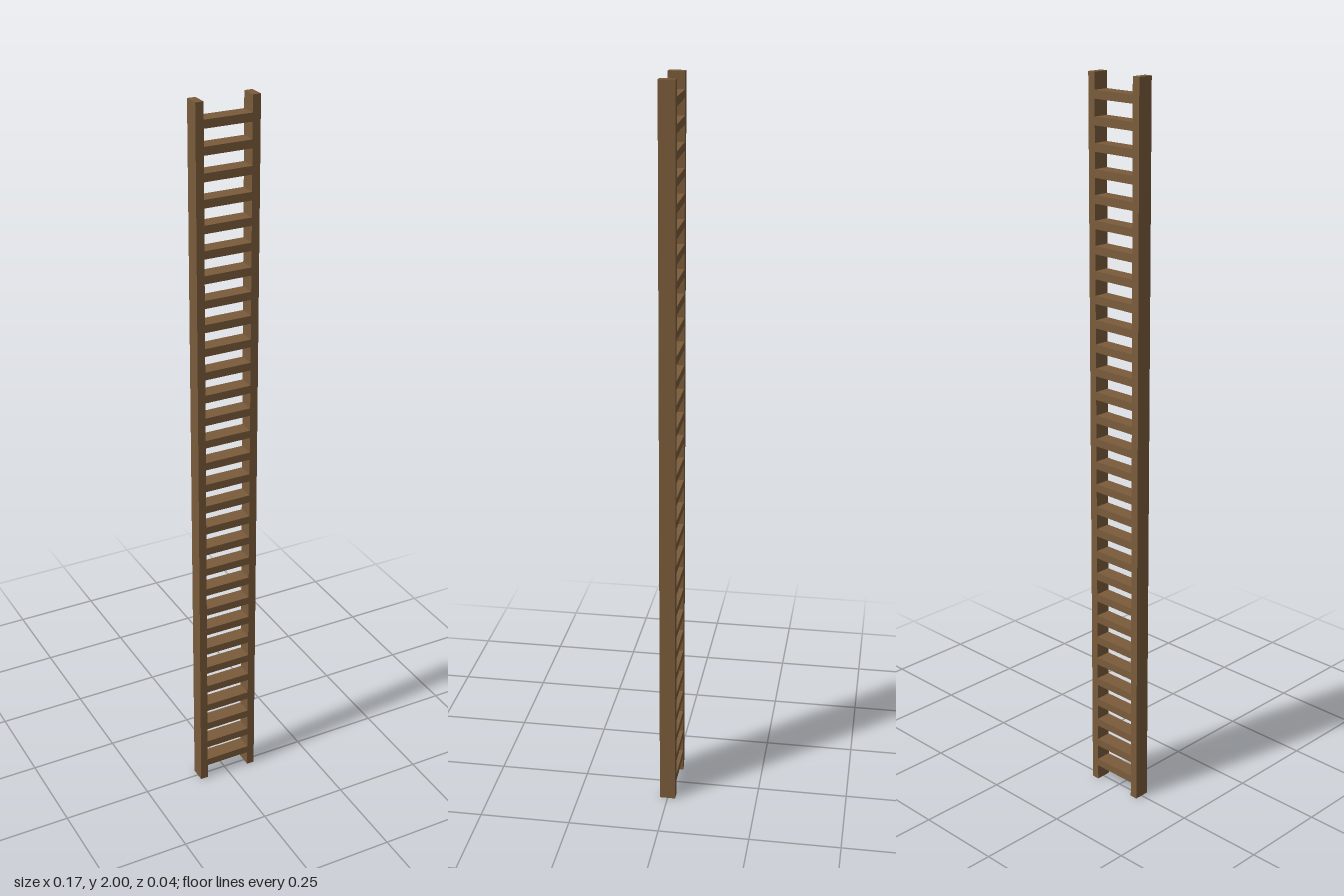
import * as THREE from 'three';

// All timber sizes are multiples of one module; the ladder is 92 modules tall.
const U = 2 / 92;
const RUNGS = 30;

export function createModel() {
  const ladder = new THREE.Group();
  ladder.name = 'ladder';
  const wood = new THREE.MeshStandardMaterial({ color: 0x7a5b3a });
  wood.name = 'brown wood';

  const addBeam = (name, geometry, x, y) => {
    const beam = new THREE.Mesh(geometry, wood);
    beam.name = name;
    beam.position.set(x, y, 0);
    ladder.add(beam);
  };

  // Side rails
  const rail = new THREE.BoxGeometry(U, 92 * U, 2 * U);
  addBeam('leftRail', rail, 3.5 * U, 46 * U);
  addBeam('rightRail', rail, -3.5 * U, 46 * U);

  // Evenly spaced rungs, flush with the rails front and back
  const rung = new THREE.BoxGeometry(6 * U, U, 2 * U);
  for (let i = 0; i < RUNGS; i++) addBeam(`rung${i + 1}`, rung, 0, (2.5 + 3 * i) * U);

  return ladder;
}
